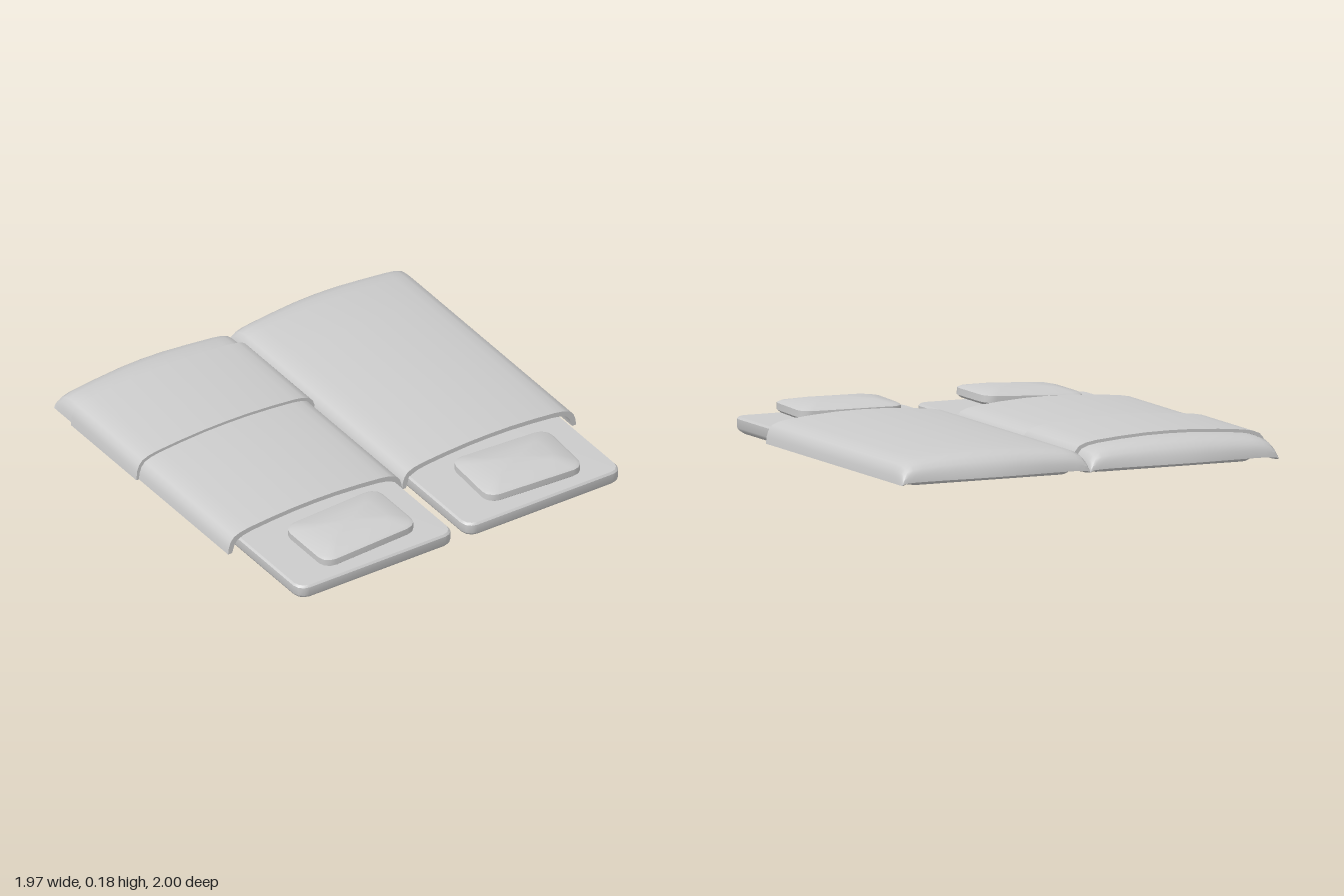
import * as THREE from 'three';
import { toCreasedNormals } from 'three/addons/utils/BufferGeometryUtils.js';

const material = new THREE.MeshStandardMaterial({ color: 0xcccccc, side: THREE.DoubleSide });

// Joins a list of closed loops with quads; addCaps adds the end faces
function skin(loops, addCaps) {
  const pos = [];
  const quad = (a, b, c, d) => pos.push(...a, ...b, ...c, ...a, ...c, ...d);
  const tri = (a, b, c) => pos.push(...a, ...b, ...c);
  for (let j = 0; j < loops.length - 1; j++) {
    const p = loops[j], q = loops[j + 1], n = p.length;
    for (let i = 0; i < n; i++) quad(p[i], p[(i + 1) % n], q[(i + 1) % n], q[i]);
  }
  addCaps(quad, tri);
  const g = new THREE.BufferGeometry();
  g.setAttribute('position', new THREE.Float32BufferAttribute(pos, 3));
  return toCreasedNormals(g, 0.6);
}

// Stacked rounded rectangles, levels are [inset, y], closed by a point above and below
function cushion(w, d, r, levels, bottomY, topY) {
  const loops = levels.map(([inset, y]) => {
    const loop = [], rr = Math.max(r - inset * 0.3, 0.02);
    for (let c = 3; c >= 0; c--) {
      for (let k = 3; k >= 0; k--) {
        const a = (c + k / 3) * Math.PI / 2;
        const sx = c === 0 || c === 3 ? 1 : -1, sz = c < 2 ? 1 : -1;
        loop.push([sx * (w / 2 - inset - rr) + rr * Math.cos(a), y,
          sz * (d / 2 - inset - rr) + rr * Math.sin(a)]);
      }
    }
    return loop;
  });
  const first = loops[0], last = loops[loops.length - 1], n = first.length;
  return skin(loops, (quad, tri) => {
    for (let i = 0; i < n; i++) {
      const k = (i + 1) % n;
      tri([0, bottomY, 0], first[k], first[i]);
      tri([0, topY, 0], last[i], last[k]);
    }
  });
}

// Half of the blanket's arched section, [x, y], from the middle out to the hem
const half = [[0, 0.152], [0.12, 0.15], [0.25, 0.142], [0.37, 0.131], [0.42, 0.122],
  [0.455, 0.108], [0.474, 0.085], [0.484, 0.055], [0.488, 0.022]];
const arch = [...half.slice(1).reverse().map(([x, y]) => [-x, y]), ...half];

// Thin draped cloth; stations are [z, height factor, backward bulge]
function drape(stations, grow, thickness, backWall) {
  const layer = (inset, [z, f, bulge], wall) => arch.map(([x, y]) => {
    const t = x / 0.488;
    const py = y < 0.03 ? y : y - inset;
    return [x * (1 - inset / 0.488), 0.022 + (py - 0.022) * f,
      z + wall - bulge * Math.cos(t * Math.PI / 2) ** 2];
  });
  const m = arch.length;
  const loops = stations.map((s, j) => {
    const wall = backWall ? thickness * j / (stations.length - 1) : 0;
    return [...layer(-grow, s, 0), ...layer(thickness - grow, s, wall).reverse()];
  });
  return skin(loops, (quad) => {
    const p = loops[0], q = loops[loops.length - 1];
    for (let i = 0; i < m - 1; i++) {
      const a = 2 * m - 1 - i;
      quad(p[i], p[a], p[a - 1], p[i + 1]);
      quad(q[i], q[i + 1], q[a - 1], q[a]);
    }
  });
}

export function createModel() {
  const model = new THREE.Group();
  const add = (name, geometry, x, y, z) => {
    const mesh = new THREE.Mesh(geometry, material);
    mesh.name = name;
    mesh.position.set(x, y, z);
    model.add(mesh);
    return mesh;
  };

  const matGeo = cushion(0.87, 1.88, 0.055,
    [[0.025, 0.004], [0.006, 0.018], [0, 0.03], [0, 0.072], [0.008, 0.082]], 0, 0.094);
  const pillowGeo = cushion(0.52, 0.36, 0.06,
    [[0.014, -0.04], [0, -0.028], [0, 0.005], [0.014, 0.014], [0.1, 0.032]], -0.042, 0.042);
  // The cloth runs back and curls down over the far end
  const blanketGeo = drape([[0.5, 1, 0], [0, 1, 0], [-0.6, 1, 0], [-0.84, 1, 0],
    [-0.89, 0.96, 0.005], [-0.925, 0.86, 0.012], [-0.95, 0.68, 0.02],
    [-0.965, 0.42, 0.028], [-0.968, 0.12, 0.032]], 0, 0.022, true);

  for (const side of [-1, 1]) {
    const name = side < 0 ? 'right' : 'left';
    add(name + 'Mat', matGeo, side < 0 ? -0.465 : 0.475, 0, 0.06);
    add(name + 'Blanket', blanketGeo, side < 0 ? -0.482 : 0.493, 0, 0);
  }

  // Extra folded layer across one blanket
  add('foldedBlanketBand', drape([[-0.25, 1, 0], [-0.5, 1, 0], [-0.8, 1, 0]], 0.014, 0.014, false),
    -0.483, 0.001, 0);

  // Pillows, one tipped and one turned
  add('rightPillow', pillowGeo, -0.46, 0.138, 0.765).rotation.z = 0.05;
  add('leftPillow', pillowGeo, 0.475, 0.138, 0.765).rotation.y = -0.06;
  return model;
}
